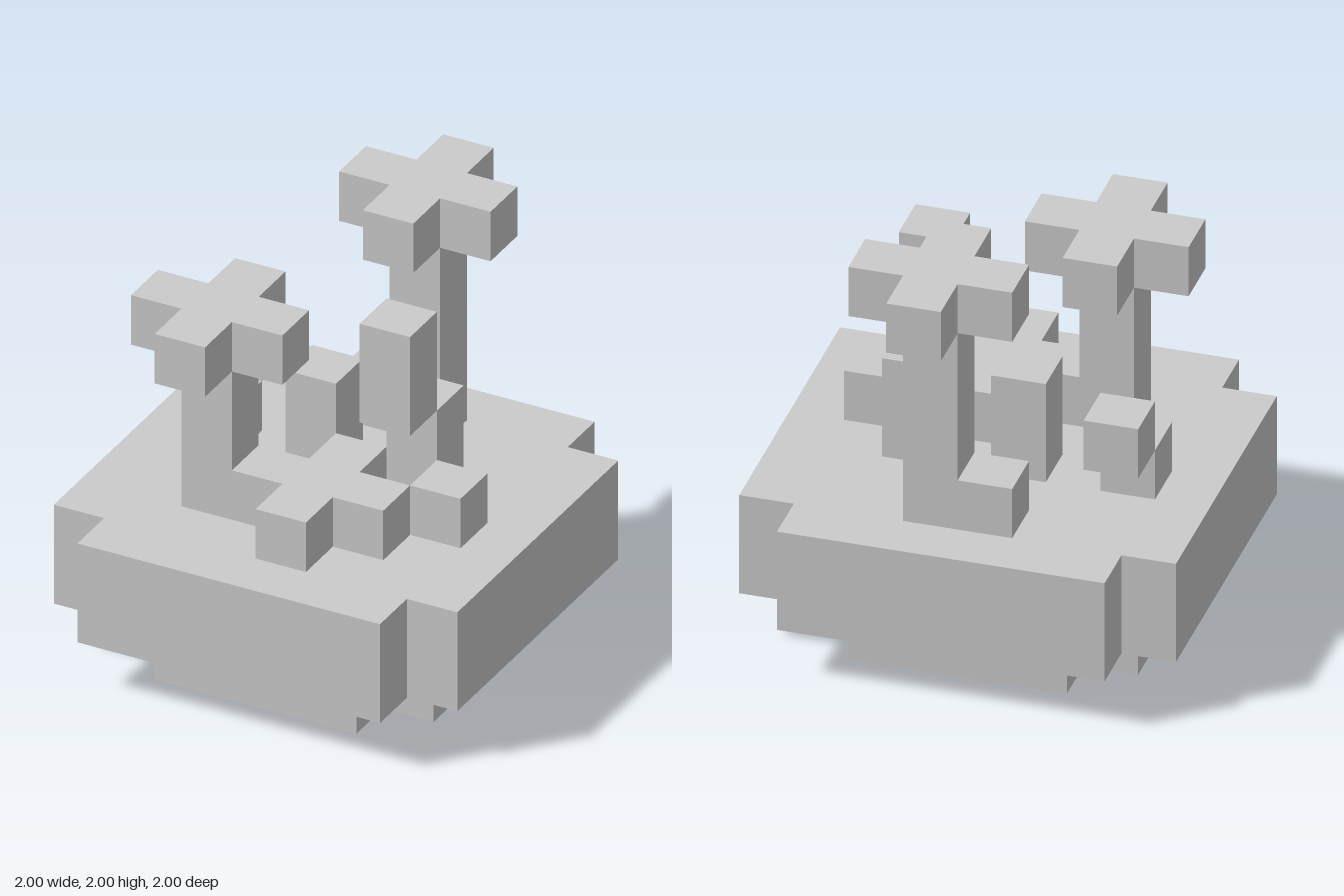
import * as THREE from 'three';

const U = 0.25; // edge of one block
const material = new THREE.MeshStandardMaterial({ color: 0xcccccc, flatShading: true });

function addMesh(parent, name, geometry, x, y, z) {
  const mesh = new THREE.Mesh(geometry, material);
  mesh.name = name;
  mesh.position.set(x, y, z);
  parent.add(mesh);
}

// Slab with one-block notches in its corners: half sizes hx, hz, bottom at y
function notchedSlab(parent, name, hx, hz, y, height, cx = 0, cz = 0) {
  const ix = hx - U, iz = hz - U;
  const outline = [
    [hx, -iz], [hx, iz], [ix, iz], [ix, hz], [-ix, hz], [-ix, iz],
    [-hx, iz], [-hx, -iz], [-ix, -iz], [-ix, -hz], [ix, -hz], [ix, -iz],
  ].map(([x, z]) => new THREE.Vector2(x, z));
  const geometry = new THREE.ExtrudeGeometry(new THREE.Shape(outline), { depth: height, bevelEnabled: false });
  geometry.rotateX(-Math.PI / 2);
  addMesh(parent, name, geometry, cx, y, cz);
}

// Column one block wide, with its low corner at x, y, z
function column(parent, name, x, y, z, height) {
  addMesh(parent, name, new THREE.BoxGeometry(U, height, U), x + U / 2, y + height / 2, z + U / 2);
}

// Trunk with a plus-shaped top
function tree(parent, name, x, z, trunkHeight) {
  const group = new THREE.Group();
  group.name = name;
  column(group, 'trunk', x, 0.75, z, trunkHeight);
  notchedSlab(group, 'canopy', 1.5 * U, 1.5 * U, 0.75 + trunkHeight, U, x + U / 2, z + U / 2);
  parent.add(group);
}

export function createModel() {
  const model = new THREE.Group();
  model.name = 'blockIsland';

  // Stepped base
  notchedSlab(model, 'foot', 0.75, 0.75, 0, 0.25);
  notchedSlab(model, 'ground', 1, 1, 0.25, 0.5);

  // Trees and the low plus-shaped bush
  tree(model, 'tallTree', 0, -0.75, 1);
  tree(model, 'shortTree', -0.5, 0.25, 0.75);
  notchedSlab(model, 'bush', 1.5 * U, 1.5 * U, 0.75, U, 0.125, 0.375);

  // Single blocks and stems: name, x, y, z, height
  const blocks = [
    ['rootBlock', -0.25, 0.75, -0.75, 0.25],
    ['middleStem', -0.25, 0.75, -0.25, 0.5],
    ['sideBlock', -0.75, 0.75, -0.25, 0.25],
    ['sideBud', -0.75, 1, -0.5, 0.25],
    ['leftStem', 0.25, 0.75, -0.25, 0.5],
    ['leftBlock', 0.5, 0.75, 0, 0.25],
    ['leftBud', 0.25, 1.25, 0, 0.5],
  ];
  for (const [name, x, y, z, height] of blocks) column(model, name, x, y, z, height);

  return model;
}
